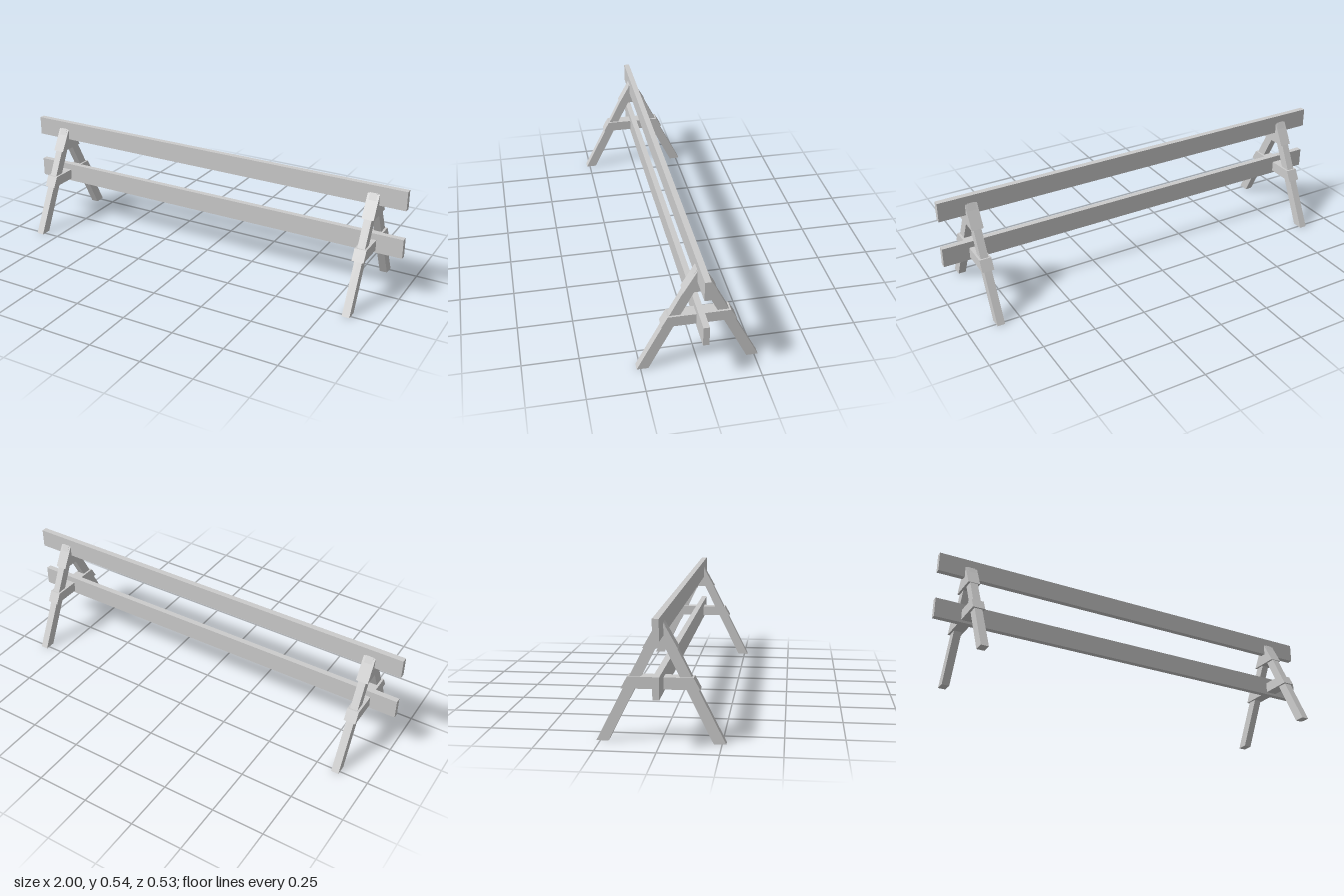
import * as THREE from 'three';

const material = new THREE.MeshStandardMaterial({ color: 0xcccccc, flatShading: true });

// Flat board cut from a [z, y] outline, with its thickness centred along x
function board(name, outline, thickness) {
  const shape = new THREE.Shape(outline.map(([z, y]) => new THREE.Vector2(-z, y)));
  const geometry = new THREE.ExtrudeGeometry(shape, { depth: thickness, bevelEnabled: false });
  geometry.translate(0, 0, -thickness / 2);
  geometry.rotateY(Math.PI / 2);
  const mesh = new THREE.Mesh(geometry, material);
  mesh.name = name;
  return mesh;
}

// Long plank running along x
function rail(name, bottom, top) {
  const mesh = new THREE.Mesh(new THREE.BoxGeometry(2, top - bottom, 0.027), material);
  mesh.position.y = (bottom + top) / 2;
  mesh.name = name;
  return mesh;
}

// A-shaped end support: two splayed legs, a gusset at the top and a cross tie
function trestle(name) {
  const group = new THREE.Group();
  group.name = name;
  for (const s of [1, -1]) {
    const outline = [[0.267, 0], [0.216, 0], [0, 0.433], [0, 0.5], [0.0135, 0.5]];
    group.add(board(s > 0 ? 'frontLeg' : 'backLeg', outline.map(([z, y]) => [s * z, y]), 0.036));
  }
  group.add(board('gusset', [[-0.072, 0.393], [0.072, 0.393], [0.0135, 0.497], [-0.0135, 0.497]], 0.056));
  group.add(board('crossTie', [[-0.162, 0.225], [0.162, 0.225], [0.135, 0.275], [-0.135, 0.275]], 0.056));
  return group;
}

export function createModel() {
  const model = new THREE.Group();
  model.name = 'trestleBarrier';
  model.add(rail('topRail', 0.445, 0.536), rail('lowerRail', 0.213, 0.305));
  for (const s of [1, -1]) {
    const support = trestle(s > 0 ? 'leftTrestle' : 'rightTrestle');
    support.position.x = s * 0.847;
    model.add(support);
  }
  return model;
}
